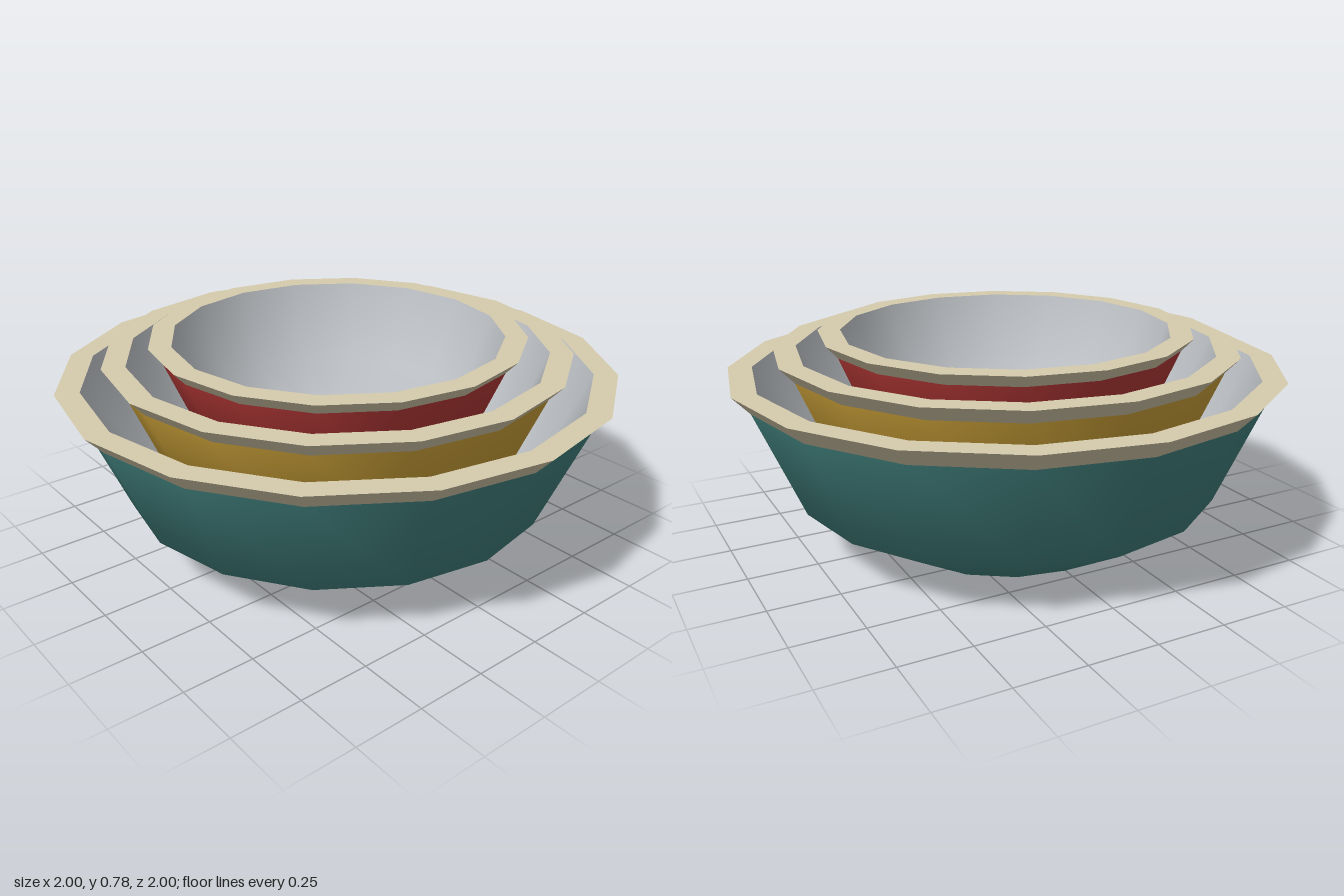
import * as THREE from 'three';

const SIDES = 16;

const material = (name, color) => {
  const m = new THREE.MeshStandardMaterial({ color });
  m.name = name;
  return m;
};

export function createModel() {
  const cream = material('cream rim', 0xd6cbad);
  const grey = material('grey lining', 0xbabec2);

  // Turned surface from a profile running up the outside, over the rim and down the inside
  const turned = (name, points, mat) => {
    const profile = points.map(([r, y]) => new THREE.Vector2(r, y));
    const mesh = new THREE.Mesh(new THREE.LatheGeometry(profile, SIDES), mat);
    mesh.name = name;
    return mesh;
  };

  // One bowl: coloured shell, flared rim and lining, with creases where they meet
  const bowl = (name, radius, top, rimWidth, shellMaterial) => {
    const s = radius;
    const base = top - 0.65 * s;
    const at = (r, y) => [r * s, base + y * s];
    const inner = radius - rimWidth;
    const group = new THREE.Group();
    group.name = name;
    group.add(
      turned('shell', [at(0, 0), at(0.45, 0), at(0.775, 0.195), at(0.94, 0.585)], shellMaterial),
      turned('rimFlare', [at(0.94, 0.585), at(1, 0.65)], cream),
      turned('rimTop', [at(1, 0.65), [inner, top]], cream),
      turned('lining', [[inner, top], at(0.72, 0.23), at(0.42, 0.06), at(0, 0.06)], grey),
    );
    return group;
  };

  const model = new THREE.Group();
  model.name = 'nestedBowls';
  model.add(
    bowl('largeBowl', 1, 0.65, 0.085, material('teal', 0x438481)),
    bowl('mediumBowl', 0.838, 0.725, 0.083, material('mustard', 0xd2a63a)),
    bowl('smallBowl', 0.675, 0.78, 0.08, material('red', 0xb83a38)),
  );
  return model;
}
